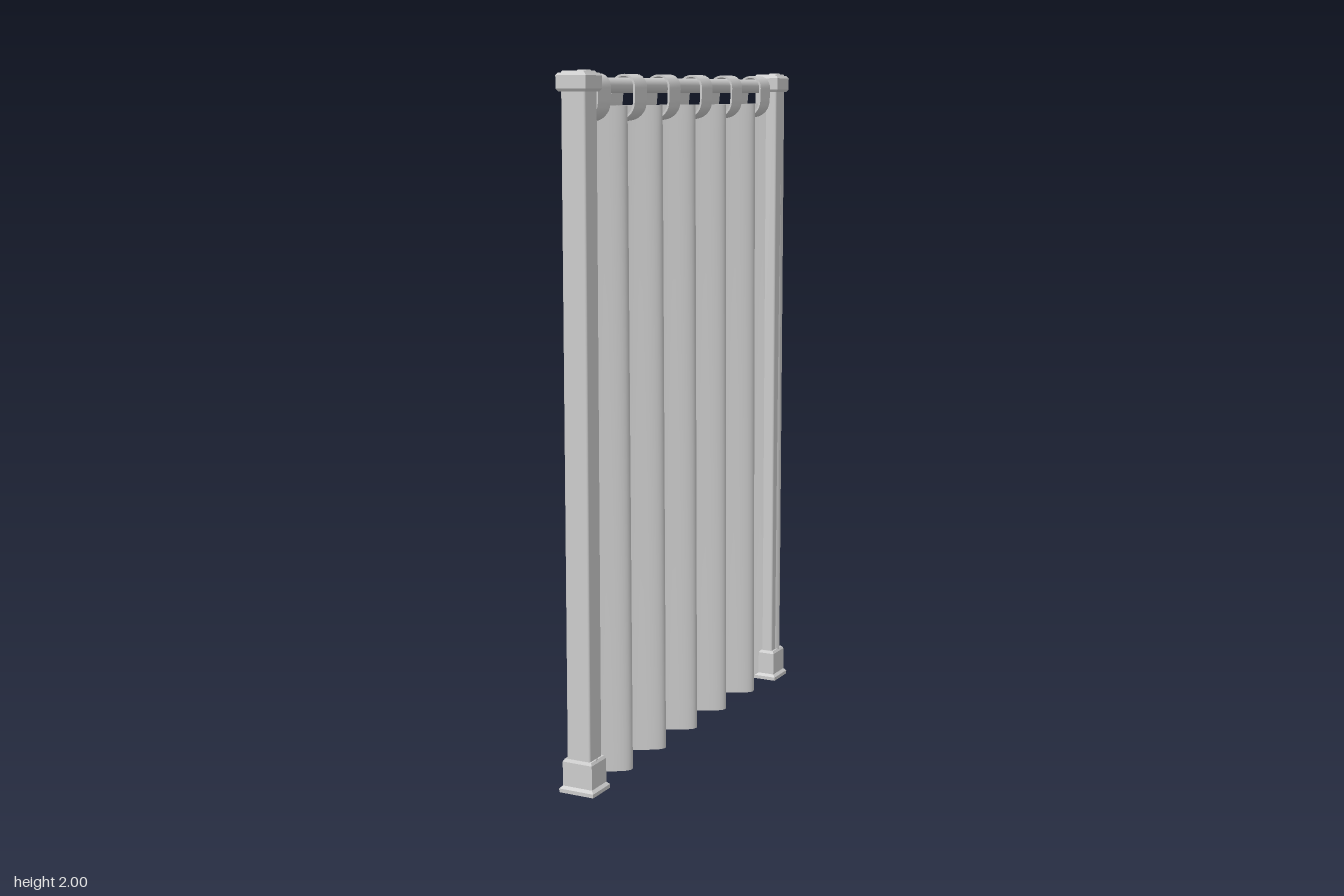
import * as THREE from 'three';
import { RoundedBoxGeometry } from 'three/addons/geometries/RoundedBoxGeometry.js';
import { toCreasedNormals } from 'three/addons/utils/BufferGeometryUtils.js';

const grey = new THREE.MeshStandardMaterial({ color: 0xcccccc, side: THREE.DoubleSide });
const PERIOD = 0.2075; // spacing of the curtain folds
const ROD = { x: -0.005, y: 1.96, r: 0.021 };

function add(parent, name, geometry, x = 0, y = 0, z = 0) {
  const mesh = new THREE.Mesh(geometry, grey);
  mesh.name = name;
  mesh.position.set(x, y, z);
  parent.add(mesh);
  return mesh;
}

// Square stepped block from a [halfWidth, y] profile, with sharp edges
function squareLathe(profile, widthX = 1) {
  const pts = profile.map(([h, y]) => new THREE.Vector2(h * Math.SQRT2, y));
  const g = new THREE.LatheGeometry(pts, 4).rotateY(Math.PI / 4).scale(widthX, 1, 1);
  return toCreasedNormals(g, 0.2);
}

function makePost(side) {
  const post = new THREE.Group();
  post.name = side > 0 ? 'frontPost' : 'backPost';
  add(post, 'shaft', new RoundedBoxGeometry(0.074, 1.9, 0.068, 2, 0.006), 0, 1.0, 0);
  add(post, 'foot', squareLathe([
    [0, 0.003], [0.048, 0.003], [0.048, 0.014], [0.041, 0.022],
    [0.041, 0.092], [0.037, 0.1], [0, 0.1],
  ], 1.14));
  add(post, 'cap', squareLathe([
    [0, 1.942], [0.038, 1.942], [0.044, 1.95], [0.044, 1.985],
    [0.039, 1.992], [0.034, 1.992], [0.031, 1.997], [0, 1.997],
  ], 1.05));
  add(post, 'capStud', new RoundedBoxGeometry(0.03, 0.01, 0.03, 2, 0.004), 0.016, 1.995, 0);
  post.position.set(0.008, 0, side * 0.611);
  return post;
}

// Sine-folded cloth, the folds deepening towards the floor
function makeCurtain() {
  const bottom = 0.008, top = 1.905, half = 0.62;
  const g = new THREE.PlaneGeometry(2 * half, top - bottom, 180, 24).rotateY(Math.PI / 2);
  const p = g.attributes.position;
  for (let i = 0; i < p.count; i++) {
    const z = p.getZ(i);
    const t = p.getY(i) / (top - bottom) + 0.5;
    const depth = 0.051 - 0.009 * t;
    const wave = Math.cos((2 * Math.PI * z) / PERIOD);
    p.setX(i, depth * wave + 0.002);
    p.setY(i, bottom + t * (top - bottom) + 0.004 * (1 - t) * (1 - wave) * 0.5);
  }
  g.computeVertexNormals();
  return g;
}

// Strap looped over the rod: centre line in x, y swept across the width
function makeTab() {
  const line = new THREE.CatmullRomCurve3([
    [-0.034, 1.862], [0.004, 1.872], [0.026, 1.895], [0.031, 1.94], [0.029, 1.968],
    [0.014, 1.985], [-0.008, 1.988], [-0.03, 1.978], [-0.041, 1.955],
    [-0.047, 1.91], [-0.053, 1.86], [-0.053, 1.815],
  ].map(([x, y]) => new THREE.Vector3(x, y, 0)));
  const n = 44, t = 0.003, halfWidth = 0.035;
  const outer = [], inner = [];
  for (let i = 0; i <= n; i++) {
    const c = line.getPointAt(i / n), d = line.getTangentAt(i / n);
    outer.push(new THREE.Vector2(c.x + d.y * t, c.y - d.x * t));
    inner.push(new THREE.Vector2(c.x - d.y * t, c.y + d.x * t));
  }
  const g = new THREE.ExtrudeGeometry(new THREE.Shape([...outer, ...inner.reverse()]), {
    depth: 2 * halfWidth, steps: 1, bevelEnabled: false,
  }).translate(0, 0, -halfWidth);
  // Narrow the buttoned end to a rounded tip
  const p = g.attributes.position;
  for (let i = 0; i < p.count; i++) {
    if (p.getX(i) > -0.044 || p.getY(i) > 1.862) continue;
    const k = Math.min(1, (1.862 - p.getY(i)) / 0.047);
    p.setZ(i, p.getZ(i) * Math.max(0.3, Math.sqrt(1 - k * k)));
  }
  return toCreasedNormals(g, 0.7);
}

export function createModel() {
  const model = new THREE.Group();
  model.name = 'curtainOnRod';

  // Posts with the rod between them
  for (const side of [1, -1]) {
    model.add(makePost(side));
    add(model, 'rodCollar', new THREE.CylinderGeometry(0.027, 0.027, 0.014, 24).rotateX(Math.PI / 2),
      ROD.x, ROD.y, side * 0.57);
  }
  add(model, 'rod', new THREE.CylinderGeometry(ROD.r, ROD.r, 1.2, 24).rotateX(Math.PI / 2), ROD.x, ROD.y, 0);

  add(model, 'curtain', makeCurtain());

  // Hanging tabs, each fastened by a button on the far side
  const tab = makeTab();
  const button = new THREE.SphereGeometry(0.013, 16, 10).scale(0.8, 1, 1);
  for (let i = 0; i < 6; i++) {
    const z = (i - 2.5) * PERIOD;
    add(model, 'tab', tab, 0, 0, z);
    add(model, 'button', button, -0.058, 1.835, z);
  }
  return model;
}
